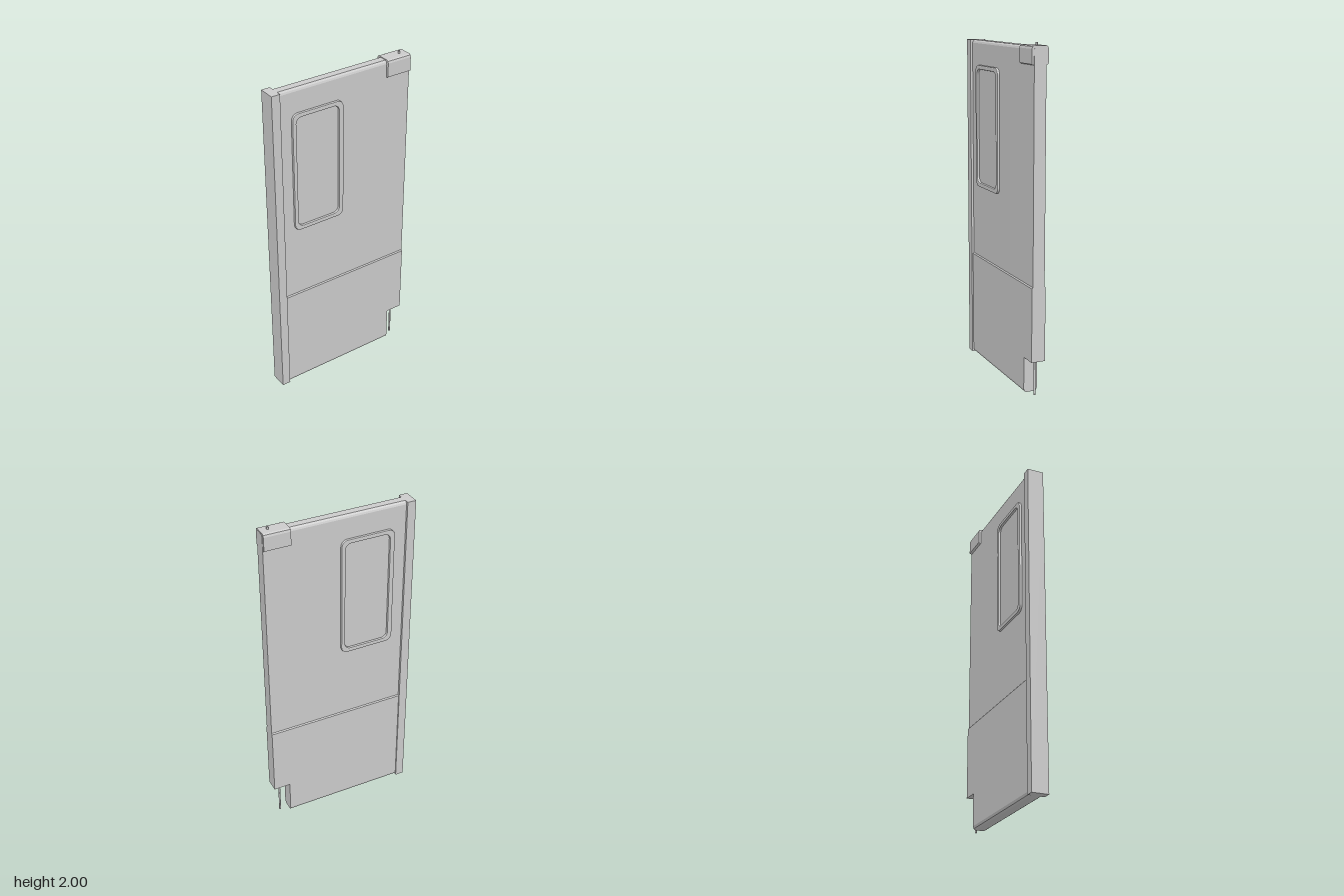
import * as THREE from 'three';

const material = new THREE.MeshStandardMaterial({ color: 0xcccccc });

function add(group, name, geometry, x = 0, y = 0, z = 0) {
  const mesh = new THREE.Mesh(geometry, material);
  mesh.name = name;
  mesh.position.set(x, y, z);
  group.add(mesh);
  return mesh;
}

// Extrudes a mirrored (half depth, height) profile along x from x0 to x1
function profileAlongX(half, x0, x1) {
  const points = [
    ...half.map(([z, y]) => new THREE.Vector2(-z, y)),
    ...half.slice().reverse().map(([z, y]) => new THREE.Vector2(z, y)),
  ];
  const geometry = new THREE.ExtrudeGeometry(new THREE.Shape(points), { depth: x1 - x0, bevelEnabled: false });
  geometry.rotateY(Math.PI / 2);
  geometry.translate(x0, 0, 0);
  return geometry;
}

function roundedRect(path, x0, y0, x1, y1, r) {
  path.moveTo(x0 + r, y0);
  path.lineTo(x1 - r, y0);
  path.absarc(x1 - r, y0 + r, r, -Math.PI / 2, 0);
  path.lineTo(x1, y1 - r);
  path.absarc(x1 - r, y1 - r, r, 0, Math.PI / 2);
  path.lineTo(x0 + r, y1);
  path.absarc(x0 + r, y1 - r, r, Math.PI / 2, Math.PI);
  path.lineTo(x0, y0 + r);
  path.absarc(x0 + r, y0 + r, r, Math.PI, Math.PI * 1.5);
  return path;
}

export function createModel() {
  const door = new THREE.Group();
  door.name = 'swingDoor';

  const hingeX = 0.405;
  const notchX = 0.35;
  const notchY = 0.215;
  const edgeX = -0.403;

  // Upper panel with bevelled top edge
  add(door, 'upperPanel', profileAlongX(
    [[0.036, 0.655], [0.036, 1.962], [0.032, 1.972], [0.022, 1.98]], edgeX, 0.452));

  // Thicker kick panel, notched at the lower hinge corner
  add(door, 'kickPanel', profileAlongX(
    [[0.042, notchY], [0.042, 0.65], [0.036, 0.657]], edgeX, 0.452));
  add(door, 'kickPanelBottom', profileAlongX(
    [[0.026, 0], [0.037, 0.007], [0.042, 0.021], [0.042, notchY]], edgeX, notchX));

  // Full-height closing edge post
  add(door, 'edgePost', new THREE.BoxGeometry(0.052, 1.98, 0.1), -0.429, 0.99, 0);

  // Top hinge cap with softened upper edges
  add(door, 'hingeCap', profileAlongX(
    [[0.038, 1.882], [0.05, 1.887], [0.05, 1.968], [0.046, 1.98], [0.037, 1.985]], 0.294, 0.45));

  // Hinge pins above and below
  add(door, 'topPin', new THREE.CylinderGeometry(0.006, 0.006, 0.03, 16), hingeX, 1.985, 0);
  add(door, 'bottomPin', new THREE.CylinderGeometry(0.006, 0.006, notchY + 0.01, 16), hingeX, (notchY + 0.01) / 2, 0);

  // Window frames on both faces, with chamfered rims
  const bevel = 0.005;
  const frame = roundedRect(new THREE.Shape(), -0.331 + bevel, 1.1 + bevel, -0.002 - bevel, 1.836 - bevel, 0.035);
  frame.holes.push(roundedRect(new THREE.Path(), -0.307 - bevel, 1.125 - bevel, -0.031 + bevel, 1.811 + bevel, 0.04));
  const frameGeometry = new THREE.ExtrudeGeometry(frame, {
    depth: 0.015, bevelThickness: bevel, bevelSize: bevel, bevelSegments: 2, curveSegments: 8,
  });
  frameGeometry.translate(0, 0, 0.03);
  add(door, 'frontWindowFrame', frameGeometry);
  const backGeometry = frameGeometry.clone();
  backGeometry.rotateY(Math.PI);
  add(door, 'backWindowFrame', backGeometry, -0.333);

  return door;
}
